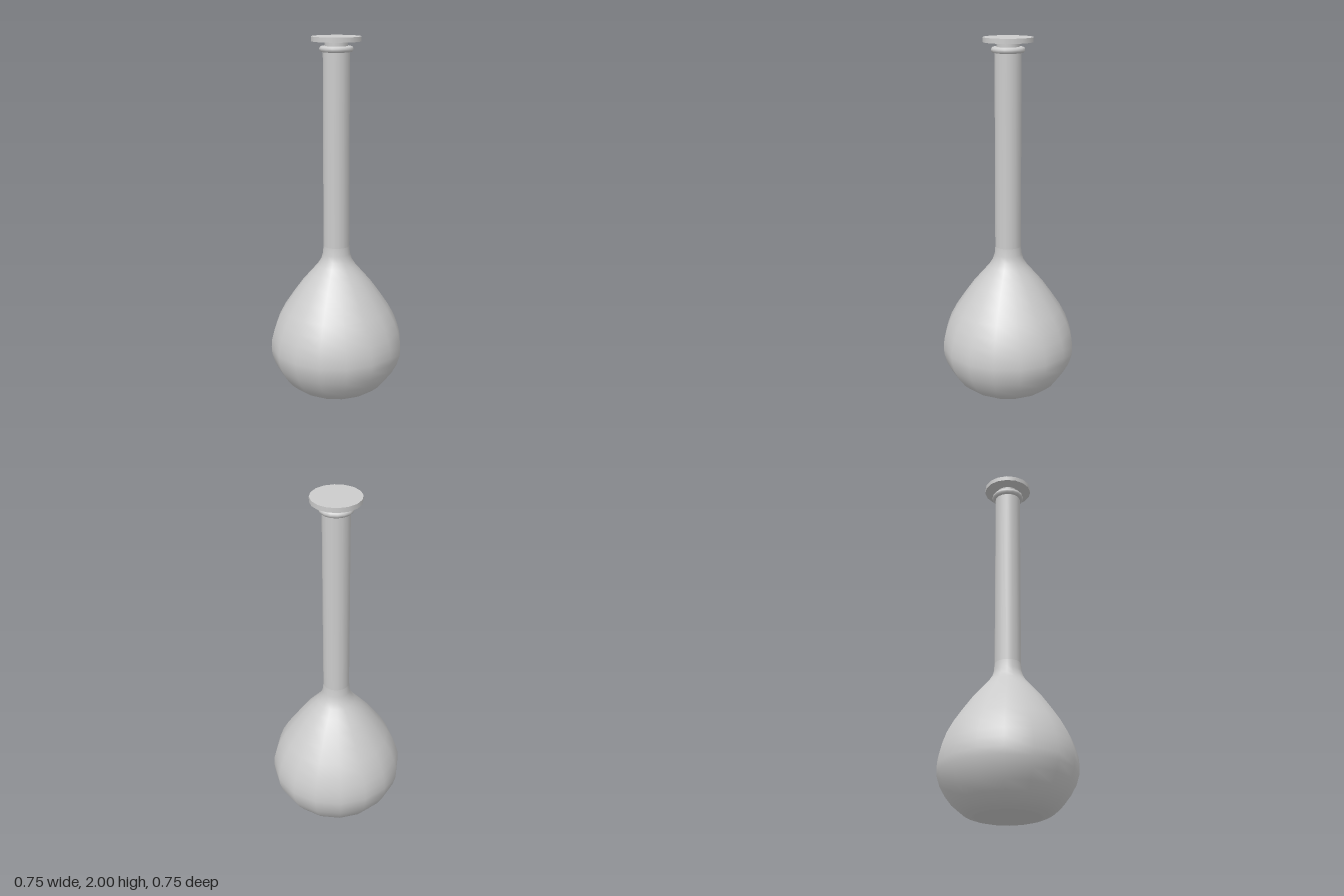
import * as THREE from 'three';

const SIDES = 16;
const material = new THREE.MeshStandardMaterial({ color: 0xcccccc });

// Turned part from [radius, height] pairs, listed bottom to top
function turned(name, profile) {
  const points = profile.map(([r, y]) => new THREE.Vector2(r, y));
  const mesh = new THREE.Mesh(new THREE.LatheGeometry(points, SIDES), material);
  mesh.name = name;
  return mesh;
}

// Upright cylinder between two heights
function disc(name, bottomRadius, topRadius, y0, y1) {
  const geometry = new THREE.CylinderGeometry(topRadius, bottomRadius, y1 - y0, SIDES);
  const mesh = new THREE.Mesh(geometry, material);
  mesh.position.y = (y0 + y1) / 2;
  mesh.name = name;
  return mesh;
}

export function createModel() {
  const group = new THREE.Group();
  group.name = 'volumetricFlask';

  // Flat base and pear-shaped bulb flowing into the shoulder
  group.add(turned('base', [[0, 0], [0.18, 0]]));
  group.add(turned('bulb', [
    [0.18, 0], [0.215, 0.01], [0.25, 0.03], [0.29, 0.064], [0.325, 0.11],
    [0.355, 0.165], [0.371, 0.22], [0.374, 0.26], [0.37, 0.31], [0.357, 0.36],
    [0.335, 0.42], [0.3, 0.485], [0.25, 0.56], [0.195, 0.637], [0.145, 0.695],
    [0.108, 0.738], [0.088, 0.77], [0.077, 0.805], [0.073, 0.85],
  ]));

  // Long straight neck
  group.add(turned('neck', [[0.073, 0.85], [0.073, 1.93]]));

  // Rounded lip around the mouth
  group.add(turned('lip', [
    [0.073, 1.918], [0.084, 1.92], [0.091, 1.928], [0.092, 1.937],
    [0.088, 1.946], [0.078, 1.95], [0.06, 1.95],
  ]));

  // Stopper: tapered plug with a flat cap
  const stopper = new THREE.Group();
  stopper.name = 'stopper';
  stopper.add(disc('plug', 0.058, 0.063, 1.8, 1.975));
  stopper.add(disc('cap', 0.135, 0.135, 1.974, 2));
  group.add(stopper);

  return group;
}
